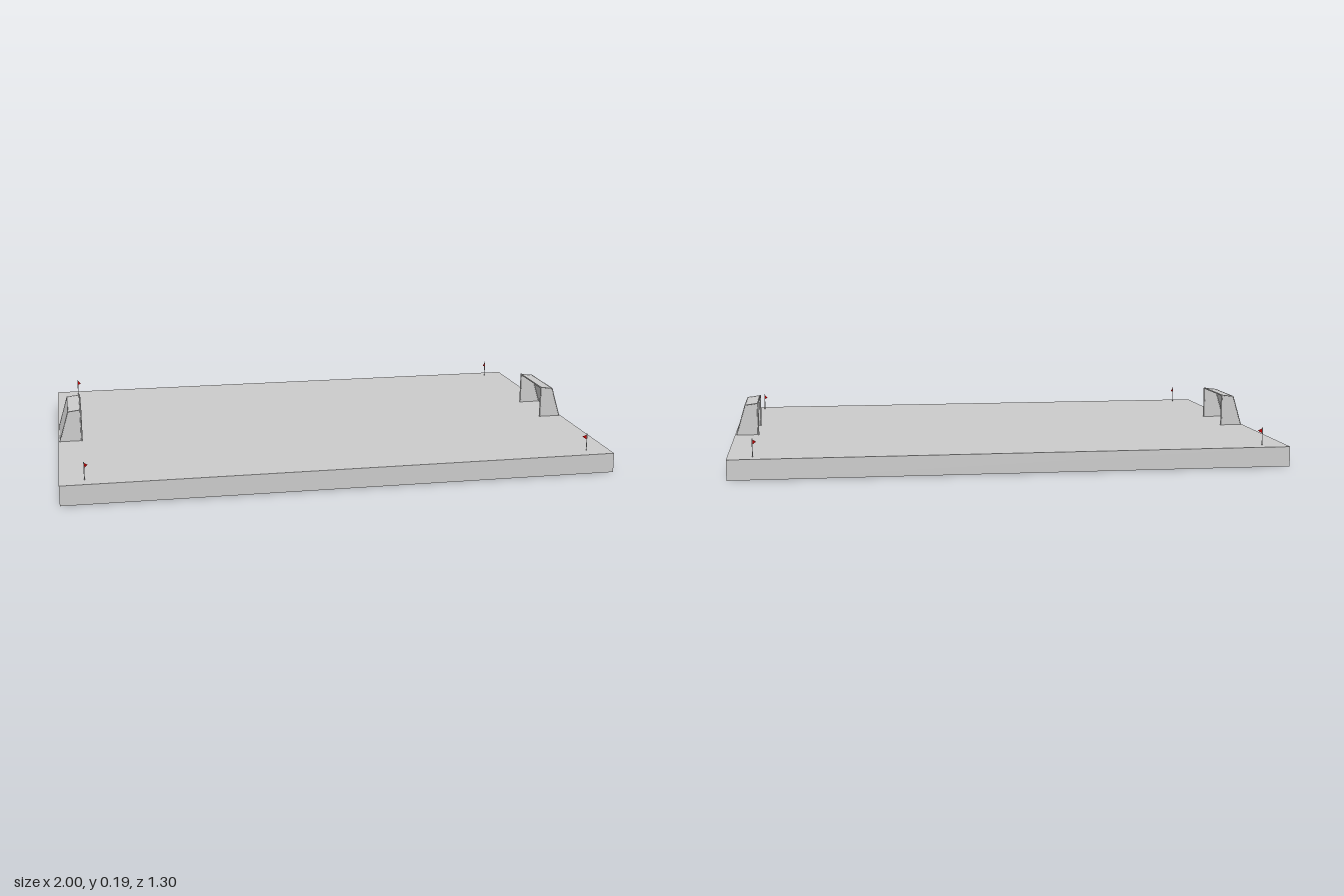
import * as THREE from 'three';

const TOP = 0.072; // height of the pitch surface
const grey = new THREE.MeshStandardMaterial({ color: 0xcccccc, flatShading: true });
const net = new THREE.MeshStandardMaterial({ color: 0xcccccc, flatShading: true, side: THREE.DoubleSide });
const red = new THREE.MeshStandardMaterial({ color: 0xcc0000, side: THREE.DoubleSide });

function add(parent, name, geometry, material) {
  const mesh = new THREE.Mesh(geometry, material);
  mesh.name = name;
  parent.add(mesh);
  return mesh;
}

// Thin bar between two points
function bar(parent, name, a, b, r) {
  const d = b.clone().sub(a);
  const mesh = add(parent, name, new THREE.CylinderGeometry(r, r, d.length(), 8), grey);
  mesh.position.copy(a).add(b).multiplyScalar(0.5);
  mesh.quaternion.setFromUnitVectors(new THREE.Vector3(0, 1, 0), d.normalize());
}

// Flat four-cornered panel
function panel(parent, name, a, b, c, d) {
  const g = new THREE.BufferGeometry().setFromPoints([a, b, c, a, c, d]);
  g.computeVertexNormals();
  add(parent, name, g, net);
}

// Goal at the +x end, mouth towards the centre
function makeGoal() {
  const goal = new THREE.Group();
  const w = 0.116, r = 0.003;
  // Side outline: front foot, front top, back top, back foot
  const outline = [[0.912, TOP], [0.912, 0.192], [0.96, 0.186], [0.994, TOP]];
  const [near, far] = [w, -w].map(z => outline.map(([x, y]) => new THREE.Vector3(x, y, z)));

  panel(goal, 'sideNet', ...near);
  panel(goal, 'sideNet', ...far);
  panel(goal, 'topNet', near[1], near[2], far[2], far[1]);
  panel(goal, 'backNet', near[2], near[3], far[3], far[2]);

  for (const side of [near, far]) {
    bar(goal, 'post', side[0], side[1], r);
    bar(goal, 'topStay', side[1], side[2], r * 0.5);
    bar(goal, 'backStay', side[2], side[3], r * 0.5);
  }
  bar(goal, 'crossbar', near[1], far[1], r);
  bar(goal, 'rearBar', near[2], far[2], r * 0.5);
  for (const p of [near[1], far[1]]) {
    add(goal, 'postCorner', new THREE.SphereGeometry(r, 8, 6), grey).position.copy(p);
  }
  return goal;
}

// Corner flag with its pennant along +x
function makeFlag() {
  const flag = new THREE.Group();
  const base = new THREE.Vector3(0, TOP, 0);
  bar(flag, 'flagPole', base, new THREE.Vector3(0, 0.136, 0), 0.0015);
  const s = new THREE.Shape();
  s.moveTo(0, 0.114);
  s.lineTo(0.018, 0.122);
  s.lineTo(0, 0.133);
  add(flag, 'pennant', new THREE.ShapeGeometry(s), red);
  return flag;
}

export function createModel() {
  const model = new THREE.Group();
  model.name = 'footballPitch';

  // Pitch slab
  add(model, 'pitch', new THREE.BoxGeometry(2, TOP, 1.3), grey).position.y = TOP / 2;

  // Goals
  for (const side of [1, -1]) {
    const goal = makeGoal();
    goal.name = side > 0 ? 'leftGoal' : 'rightGoal';
    goal.rotation.y = side > 0 ? 0 : Math.PI;
    model.add(goal);
  }

  // Corner flags, pennants pointing to the middle
  for (const x of [1, -1]) {
    for (const z of [1, -1]) {
      const flag = makeFlag();
      flag.name = 'cornerFlag';
      flag.position.set(x * 0.913, 0, z * 0.597);
      flag.rotation.y = Math.atan2(z, -x);
      model.add(flag);
    }
  }
  return model;
}
